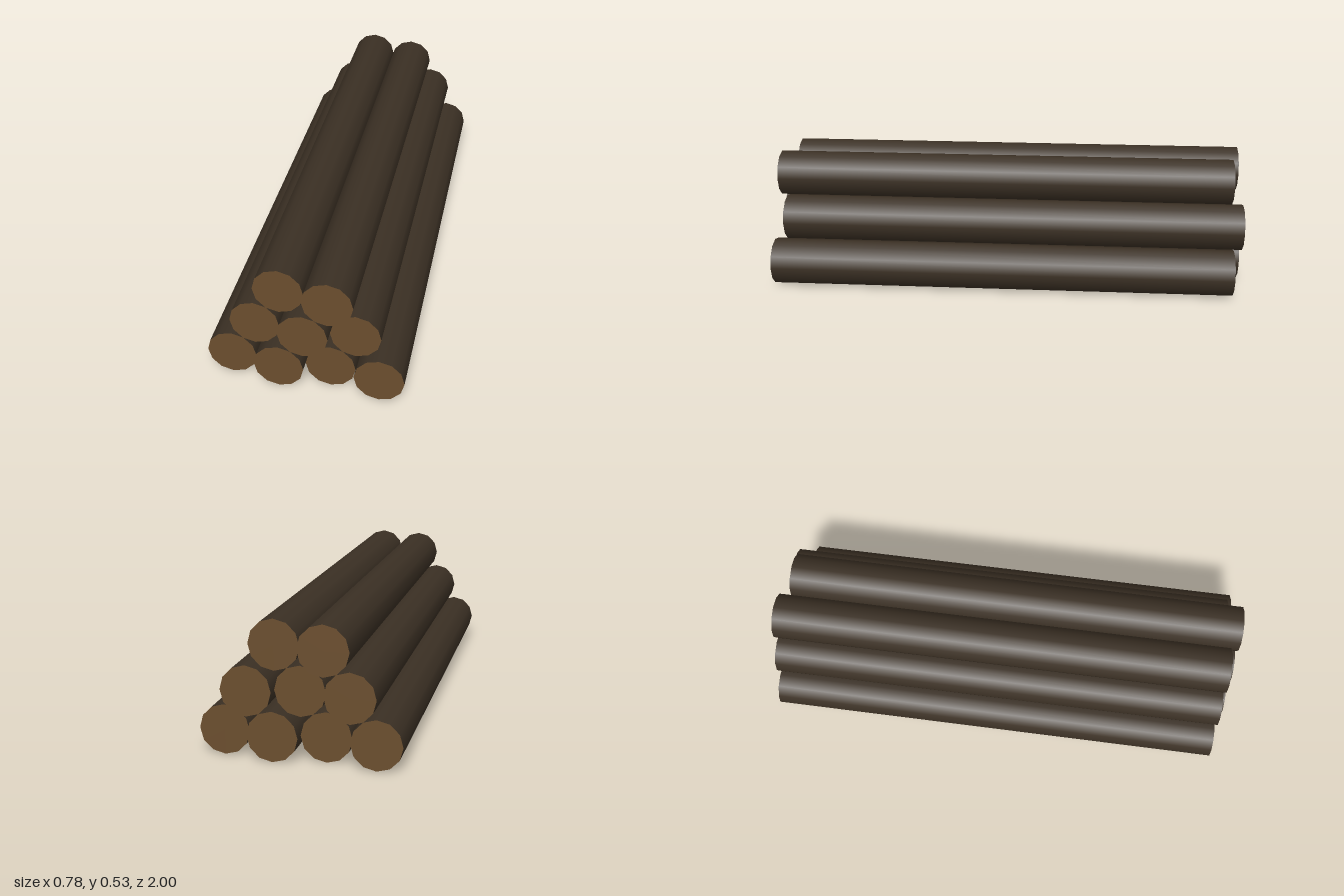
import * as THREE from 'three';

export function createModel() {
  const model = new THREE.Group();
  model.name = 'logPile';

  const bark = new THREE.MeshStandardMaterial({ color: 0x3b3024 });
  bark.name = 'dark bark';
  const cutWood = new THREE.MeshStandardMaterial({ color: 0x6b4e2e });
  cutWood.name = 'cut wood';

  const radius = 0.0977;
  const length = 1.96;
  const stagger = 0.02;

  // One twelve-sided log lying along z: smooth bark, flat cut ends
  const logShape = new THREE.CylinderGeometry(radius, radius, length, 12);
  logShape.rotateX(Math.PI / 2);

  // Rows of four, three and two, each nested in the gaps of the row below;
  // neighbouring logs are pushed alternately back and forward
  [4, 3, 2].forEach((count, row) => {
    const rowGroup = new THREE.Group();
    rowGroup.name = ['bottomRow', 'middleRow', 'topRow'][row];
    rowGroup.position.y = 0.1003 + row * radius * Math.sqrt(3);
    for (let i = 0; i < count; i++) {
      const log = new THREE.Mesh(logShape, [bark, cutWood, cutWood]);
      log.name = `log${i + 1}`;
      log.position.x = (i - (count - 1) / 2) * 2 * radius;
      log.position.z = i % 2 === 0 ? -stagger : stagger;
      rowGroup.add(log);
    }
    model.add(rowGroup);
  });

  return model;
}
